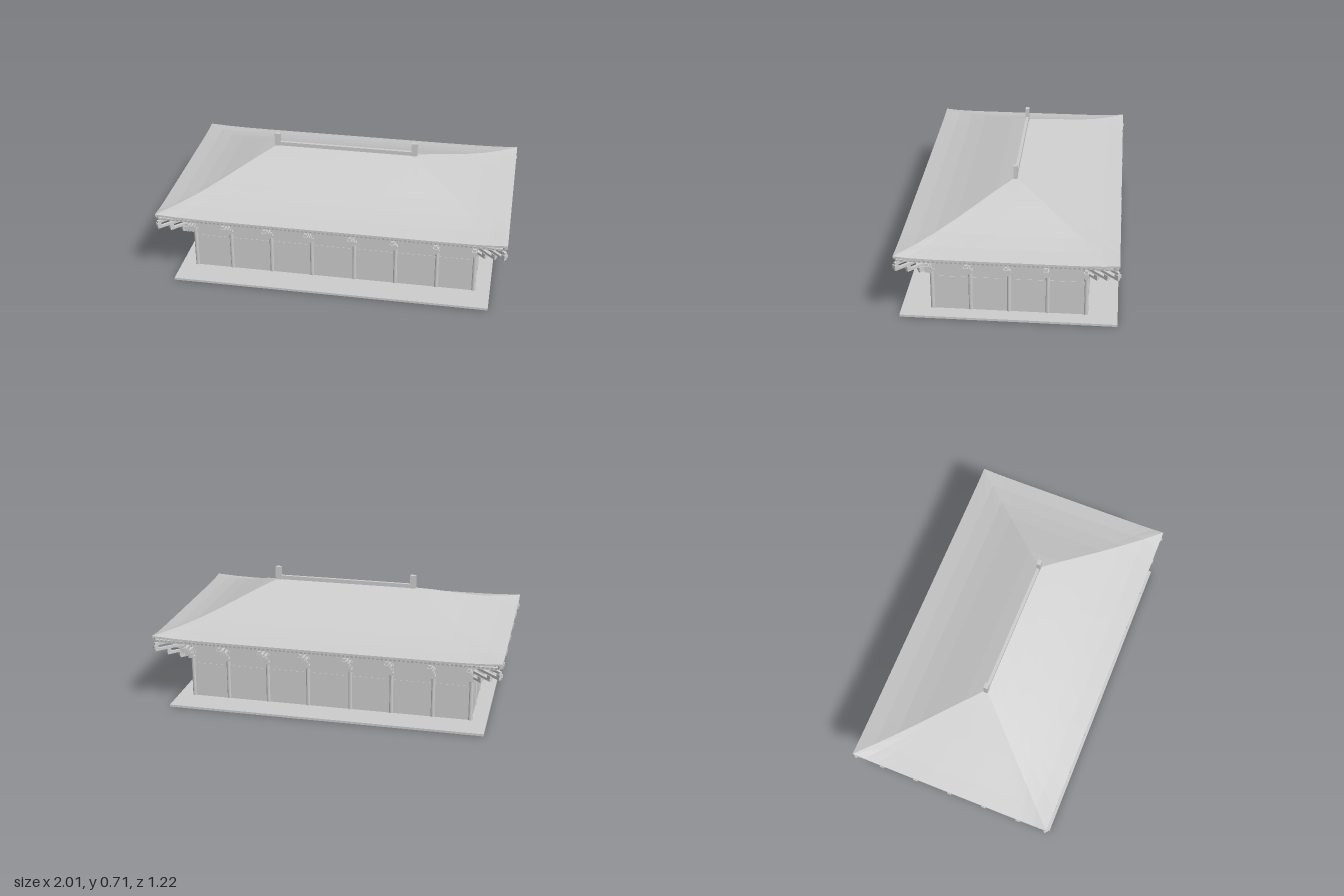
import * as THREE from 'three';
import { mergeGeometries } from 'three/addons/utils/BufferGeometryUtils.js';

const WX = 0.82, WZ = 0.425;                       // column grid half sizes
const COLS_X = [-0.82, -0.605, -0.365, -0.125, 0.125, 0.365, 0.605, 0.82];
const COLS_Z = [-0.425, -0.213, 0, 0.213, 0.425];
const PROFILE = [[0, 0.635], [1 / 6, 0.598], [1 / 3, 0.556], [0.5, 0.514], [2 / 3, 0.477], [5 / 6, 0.447], [1, 0.424]];

const material = new THREE.MeshStandardMaterial({ color: 0xcccccc, flatShading: true });

function box(w, h, d, x, y, z) {
  return new THREE.BoxGeometry(w, h, d).translate(x, y, z);
}

// square bar running from a to b
function bar(a, b, w, h) {
  const o = new THREE.Object3D();
  o.position.copy(a).add(b).multiplyScalar(0.5);
  o.lookAt(b);
  o.updateMatrix();
  return new THREE.BoxGeometry(w, h, a.distanceTo(b)).applyMatrix4(o.matrix);
}

function add(group, name, parts) {
  const mesh = new THREE.Mesh(mergeGeometries(parts), material);
  mesh.name = name;
  group.add(mesh);
}

// roof height at slope position s (0 ridge, 1 eave)
function roofY(s) {
  const i = Math.min(5, Math.floor(s * 6));
  const [s0, y0] = PROFILE[i], [s1, y1] = PROFILE[i + 1];
  return y0 + (y1 - y0) * (s - s0) / (s1 - s0);
}
const halfX = s => 0.41 + 0.59 * s;
const halfZ = s => 0.6 * s;
const lift = (s, t) => 0.011 * s ** 4 * Math.abs(t) ** 8;

// hipped roof shell: rings under the roof outwards, then over it inwards
function roofGeometry() {
  const N = 16, rings = [];
  const corners = [[1, 1], [1, -1], [-1, -1], [-1, 1]];
  const ring = (s, drop) => {
    const pts = [];
    for (let c = 0; c < 4; c++) {
      const p = corners[c], q = corners[(c + 1) % 4];
      for (let i = 0; i < N; i++) {
        const t = i / N;
        const u = p[0] + (q[0] - p[0]) * t, v = p[1] + (q[1] - p[1]) * t;
        pts.push([u * halfX(s), roofY(s) - drop + lift(s, 2 * t - 1), v * halfZ(s)]);
      }
    }
    return pts;
  };
  for (const [s] of PROFILE) rings.push(ring(s, 0.012));
  for (const [s] of [...PROFILE].reverse()) rings.push(ring(s, 0));
  const pos = [], index = [], n = 4 * N;
  rings.forEach(r => r.forEach(p => pos.push(...p)));
  for (let r = 0; r < rings.length - 1; r++) {
    for (let i = 0; i < n; i++) {
      const a = r * n + i, b = r * n + (i + 1) % n;
      index.push(a, b, b + n, a, b + n, a + n);
    }
  }
  const g = new THREE.BufferGeometry();
  g.setAttribute('position', new THREE.Float32BufferAttribute(pos, 3));
  g.setIndex(index);
  g.computeVertexNormals();
  return g;
}

// stepped bracket arms reaching outward along +z, growing by one step per tier
function bracket(scale = 1) {
  const parts = [box(0.028, 0.016, 0.028, 0, 0.257, 0)];
  for (let k = 0; k < 4; k++) {
    const y = 0.278 + k * 0.035, reach = Math.min(k + 1, 3) * 0.055 * scale;
    parts.push(box(0.016, 0.015, reach + 0.025, 0, y, (reach - 0.01) / 2));
    for (let j = 0; j <= Math.min(k + 1, 3); j++) {
      if (k < 3 && (j === 0 || j === k + 1)) parts.push(box(0.025, 0.02, 0.025, 0, y + 0.0175, j * 0.055 * scale));
    }
  }
  return mergeGeometries(parts);
}

export function createModel() {
  const model = new THREE.Group();

  // platform
  add(model, 'platform', [box(1.83, 0.013, 1.2, 0, 0.0065, 0)]);

  // columns and the points where brackets stand, with outward angle
  const columns = [], brackets = [];
  const column = (x, z) => columns.push(new THREE.CylinderGeometry(0.0125, 0.0125, 0.24, 16).translate(x, 0.13, z));
  const place = (x, z, angle, scale) => brackets.push(bracket(scale).rotateY(angle).translate(x, 0, z));
  for (const side of [-1, 1]) {
    for (const x of COLS_X) {
      column(x, side * WZ);
      place(x, side * WZ, side > 0 ? 0 : Math.PI);
    }
    for (const z of COLS_Z) {
      if (Math.abs(z) < WZ) column(side * WX, z);
      place(side * WX, z, side * Math.PI / 2);
    }
    for (const end of [-1, 1]) place(side * WX, end * WZ, Math.atan2(side, end), Math.SQRT2);
  }
  add(model, 'columns', columns);
  add(model, 'brackets', brackets);

  // wall bays: lower panel between columns, thinner upper panel with a gap at the brackets
  const lower = [], upper = [];
  const bays = (list, along) => {
    for (let i = 0; i < list.length - 1; i++) {
      const mid = (list[i] + list[i + 1]) / 2, len = list[i + 1] - list[i];
      for (const side of [-1, 1]) {
        const panel = (l, h, t, y) => along === 'x'
          ? box(l, h, t, mid, y, side * WZ) : box(t, h, l, side * WX, y, mid);
        lower.push(panel(len, 0.207, 0.012, 0.1165));
        upper.push(panel(len - 0.024, 0.17, 0.008, 0.305));
      }
    }
  };
  bays(COLS_X, 'x');
  bays(COLS_Z, 'z');
  add(model, 'lowerWalls', lower);
  add(model, 'upperWalls', upper);

  // purlins carried by the bracket ends
  const purlins = [];
  for (const side of [-1, 1]) {
    purlins.push(box(1.94, 0.014, 0.016, 0, 0.398, side * (WZ + 0.15)));
    purlins.push(box(0.016, 0.014, 1.15, side * (WX + 0.15), 0.398, 0));
    purlins.push(box(1.64, 0.014, 0.014, 0, 0.4, side * WZ));
    purlins.push(box(0.014, 0.014, 0.68, side * WX, 0.395, 0));
  }
  add(model, 'purlins', purlins);

  // rafters under the eaves, trimmed at the hips
  const rafters = [], V = (x, y, z) => new THREE.Vector3(x, y, z);
  const under = s => roofY(s) - 0.017;
  for (const side of [-1, 1]) {
    for (let i = -40; i <= 40; i++) {
      const u = i * 0.0242, s = Math.max(0.7, (Math.abs(u) - 0.41) / 0.59);
      if (s < 0.985) rafters.push(bar(V(u, under(s), side * halfZ(s)), V(u, under(1), side * 0.598), 0.012, 0.012));
    }
    for (let i = -24; i <= 24; i++) {
      const u = i * 0.0242, s = Math.max(0.7, Math.abs(u) / 0.6);
      if (s < 0.985) rafters.push(bar(V(side * halfX(s), under(s), u), V(side * 0.998, under(1), u), 0.012, 0.012));
    }
  }
  add(model, 'rafters', rafters);

  // hip rafters at the four corners
  const hips = [];
  for (const x of [-1, 1]) for (const z of [-1, 1]) {
    hips.push(bar(V(x * halfX(0.68), under(0.68), z * halfZ(0.68)), V(x * 0.99, 0.413, z * 0.59), 0.022, 0.022));
  }
  add(model, 'hipRafters', hips);

  // roof
  const roof = new THREE.Mesh(roofGeometry(), material);
  roof.name = 'roof';
  model.add(roof);

  // ridge beam with upright end ornaments
  add(model, 'ridgeBeam', [box(0.85, 0.024, 0.018, 0, 0.643, 0)]);
  add(model, 'ridgeEnds', [-1, 1].map(s => box(0.034, 0.078, 0.023, s * 0.41, 0.67, 0)));

  return model;
}
